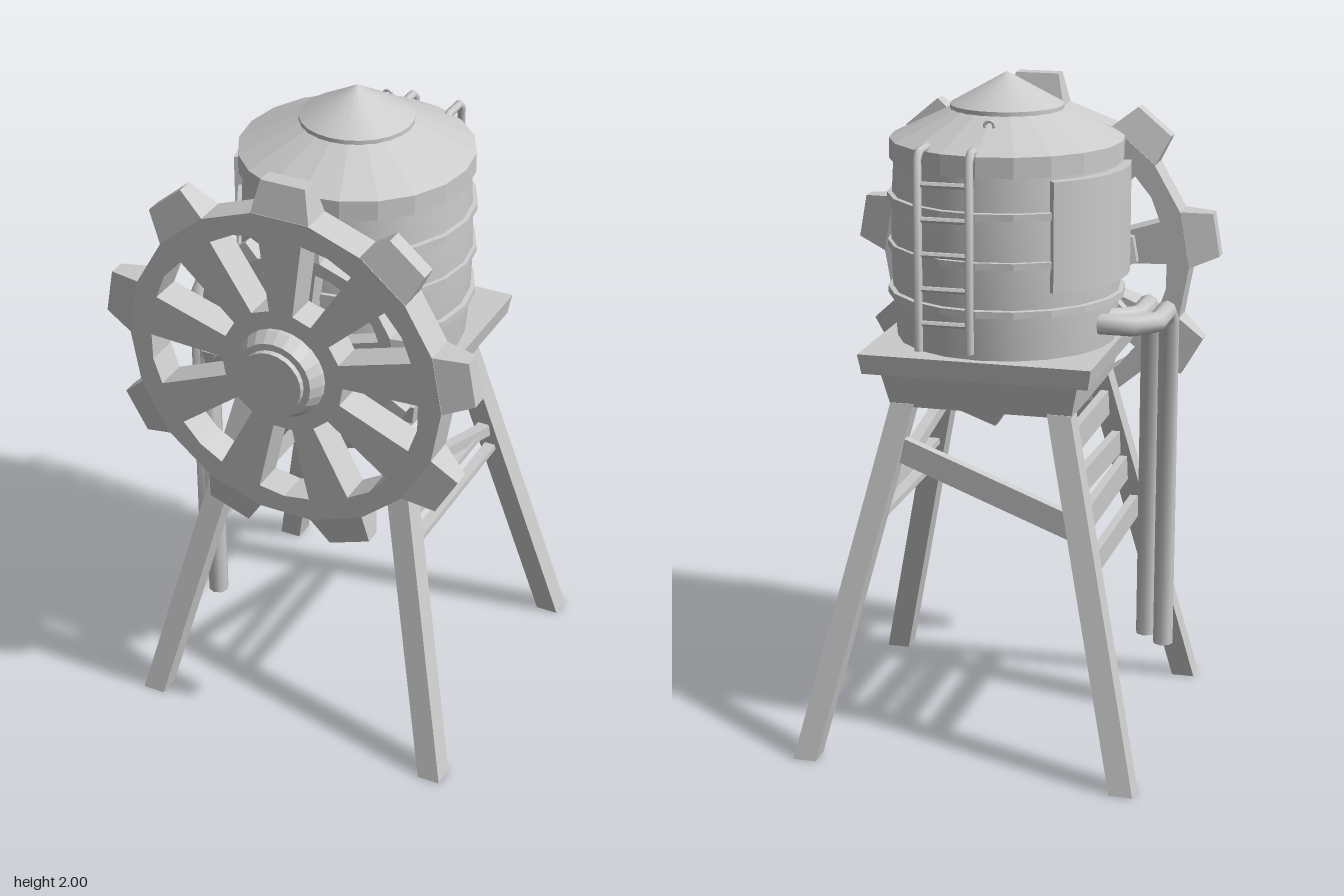
import * as THREE from 'three';

const smooth = new THREE.MeshStandardMaterial({ color: 0xcccccc, side: THREE.DoubleSide });
const flat = new THREE.MeshStandardMaterial({ color: 0xcccccc, flatShading: true });
const TX = -0.026, TZ = -0.046;   // tank axis
const LX = -0.0175, LZ = -0.045;  // tower axis

function add(parent, name, geo, mat = flat) {
  const mesh = new THREE.Mesh(geo, mat);
  mesh.name = name;
  parent.add(mesh);
  return mesh;
}

// Box from y0 to y1 with its own size and centre at each end: [width, depth, x, z]
function taper(y0, y1, [w0, d0, x0 = 0, z0 = 0], [w1, d1, x1 = 0, z1 = 0]) {
  const geo = new THREE.BoxGeometry(1, 1, 1), p = geo.attributes.position;
  for (let i = 0; i < p.count; i++) {
    const top = p.getY(i) > 0, x = p.getX(i), z = p.getZ(i);
    p.setXYZ(i, top ? x * w1 + x1 : x * w0 + x0, top ? y1 : y0, top ? z * d1 + z1 : z * d0 + z0);
  }
  geo.computeVertexNormals();
  return geo;
}

// Board of height h and thickness t between two points
function board(parent, name, a, b, h, t) {
  const mesh = add(parent, name, new THREE.BoxGeometry(t, h, a.distanceTo(b)));
  mesh.position.copy(a).lerp(b, 0.5);
  mesh.lookAt(b);
}

// Straight-sided path with mitred corners
class Polyline extends THREE.Curve {
  constructor(points) { super(); this.pts = points.map(p => new THREE.Vector3(...p)); }
  getPoint(t) {
    const n = this.pts.length - 1, i = Math.min(Math.floor(t * n + 1e-6), n - 1);
    return this.pts[i].clone().lerp(this.pts[i + 1], t * n - i);
  }
  getPointAt(t) { return this.getPoint(t); }
  getTangentAt(t) {
    const n = this.pts.length - 1, k = Math.round(t * n), out = new THREE.Vector3();
    for (const i of [k - 1, k]) {
      if (i >= 0 && i < n) out.add(this.pts[i + 1].clone().sub(this.pts[i]).normalize());
    }
    return out.normalize();
  }
}

function pipe(parent, name, points, r, sides = 8) {
  add(parent, name, new THREE.TubeGeometry(new Polyline(points), points.length - 1, r, sides), smooth);
  const end = add(parent, name + 'End', new THREE.CircleGeometry(r, sides), smooth);
  end.position.set(...points[points.length - 1]);
  end.rotation.x = Math.PI / 2;
}

// Toothed wheel facing +z, centred on its own origin
function makeWheel(name) {
  const wheel = new THREE.Group(), N = 9, step = Math.PI * 2 / N, deg = Math.PI / 180;
  wheel.name = name;
  const polar = (r, a) => new THREE.Vector2(r * Math.cos(a), r * Math.sin(a));
  const outline = [], holes = [];
  for (let i = 0; i < N; i++) {
    const a = Math.PI / 2 + i * step, m = a + step / 2;
    outline.push(polar(0.49, a - 10 * deg), polar(0.49, a + 10 * deg));
    holes.push(new THREE.Path([polar(0.19, m - 9 * deg), polar(0.42, m - 11 * deg),
      polar(0.425, m), polar(0.42, m + 11 * deg), polar(0.19, m + 9 * deg)]));
  }
  const shape = new THREE.Shape(outline);
  shape.holes = holes;
  add(wheel, 'rimAndSpokes', new THREE.ExtrudeGeometry(shape, { depth: 0.1, bevelEnabled: false }).translate(0, 0, -0.05));
  for (let i = 0; i < N; i++) {
    add(wheel, 'tooth', taper(0.475, 0.577, [0.18, 0.1], [0.135, 0.05])).rotation.z = i * step;
  }
  // Stepped hub, front boss and short rear boss
  const profile = [[0, -0.08], [0.09, -0.08], [0.12, -0.05], [0.136, 0.05], [0.136, 0.065], [0.115, 0.1],
    [0.095, 0.1], [0.095, 0.118], [0, 0.118]].map(p => new THREE.Vector2(...p));
  add(wheel, 'hub', new THREE.LatheGeometry(profile, 24).rotateX(Math.PI / 2));
  return wheel;
}

function makeTank() {
  const tank = new THREE.Group();
  tank.name = 'tank';
  tank.position.set(TX, 0, TZ);
  const v = (pts) => pts.map(p => new THREE.Vector2(...p));
  const body = v([[0.322, 1.2], [0.329, 1.28], [0.336, 1.38], [0.34, 1.5], [0.337, 1.64], [0.33, 1.77]]);
  add(tank, 'barrel', new THREE.LatheGeometry(body, 20), smooth);
  for (const y of [1.36, 1.5, 1.64]) {
    const hoop = v([[0.33, y - 0.012], [0.35, y - 0.01], [0.35, y + 0.01], [0.33, y + 0.012]]);
    add(tank, 'hoop', new THREE.LatheGeometry(hoop, 20));
  }
  add(tank, 'roof', new THREE.LatheGeometry(v([[0.32, 1.75], [0.343, 1.75], [0.343, 1.81], [0.155, 1.9]]), 20));
  add(tank, 'capBrim', new THREE.CylinderGeometry(0.166, 0.166, 0.014, 24).translate(0, 1.9, 0), smooth);
  add(tank, 'cap', new THREE.ConeGeometry(0.166, 0.093, 24).translate(0, 1.9535, 0), smooth);
  const knob = add(tank, 'roofHandle', new THREE.TorusGeometry(0.014, 0.005, 6, 10));
  knob.position.set(-0.005, 1.875, -0.212);
  // Curved hatch on the side
  const arc = new THREE.Shape(), a0 = 2.2, a1 = 3.43;
  arc.absarc(0, 0, 0.362, a0, a1, false);
  arc.absarc(0, 0, 0.325, a1, a0, true);
  const hatch = new THREE.ExtrudeGeometry(arc, { depth: 0.32, bevelEnabled: false, curveSegments: 8 });
  add(tank, 'hatch', hatch.rotateX(-Math.PI / 2).translate(0, 1.42, 0));
  return tank;
}

function makeTower() {
  const tower = new THREE.Group();
  tower.name = 'tower';
  add(tower, 'platform', taper(1.16, 1.22, [0.67, 0.68, LX, LZ], [0.69, 0.7, LX, LZ]));
  add(tower, 'platformBase', taper(1.05, 1.16, [0.54, 0.54, LX, LZ], [0.59, 0.59, LX, LZ]));
  // Centre of a leg at height y
  const legAt = (sx, sz, y) => {
    const k = 1 - y / 1.06;
    return new THREE.Vector3(LX + sx * (0.235 + 0.245 * k), y, LZ + sz * (0.24 + 0.225 * k));
  };
  for (const sx of [-1, 1]) for (const sz of [-1, 1]) {
    const a = legAt(sx, sz, 0), b = legAt(sx, sz, 1.06);
    add(tower, 'leg', taper(0, 1.06, [0.07, 0.07, a.x, a.z], [0.07, 0.07, b.x, b.z]));
  }
  // Planks on the pipe side
  for (const [yFront, yBack, h] of [[0.96, 0.96, 0.08], [0.825, 0.845, 0.075], [0.74, 0.74, 0.08], [0.61, 0.615, 0.07]]) {
    board(tower, 'plank', legAt(-1, 1, yFront), legAt(-1, -1, yBack), h, 0.025);
  }
  // Rails and diagonal braces
  for (const y of [0.7, 0.78]) board(tower, 'rail', legAt(1, 1, y), legAt(1, -1, y), 0.02, 0.035);
  board(tower, 'sideBrace', legAt(1, 1, 0.92), legAt(1, -1, 0.755), 0.035, 0.035);
  board(tower, 'backBrace', legAt(-1, -1, 0.73), legAt(1, -1, 0.93), 0.075, 0.03);
  return tower;
}

function makeLadder() {
  const ladder = new THREE.Group();
  ladder.name = 'ladder';
  for (const [x, z] of [[-0.015, -0.335], [0.135, -0.295]]) {
    pipe(ladder, 'ladderRail', [[x, 1.81, z], [x, 1.82, z - 0.03], [x, 1.82, -0.395], [x, 1.8, -0.415], [x, 1.25, -0.415]], 0.013);
  }
  for (let i = 0; i < 5; i++) {
    const rung = add(ladder, 'rung', new THREE.CylinderGeometry(0.009, 0.009, 0.15, 6).rotateZ(Math.PI / 2));
    rung.position.set(0.06, 1.33 + i * 0.1, -0.413);
  }
  return ladder;
}

export function createModel() {
  const model = new THREE.Group();
  model.name = 'waterTower';
  model.add(makeTank(), makeTower(), makeLadder());

  // Large front wheel and the smaller copy behind it, on one axle
  const large = makeWheel('largeWheel');
  large.position.set(0, 1.35, 0.43);
  const small = makeWheel('smallWheel');
  small.position.set(0, 1.355, 0.317);
  small.scale.setScalar(0.59);
  model.add(large, small);
  const axle = add(model, 'axle', new THREE.CylinderGeometry(0.05, 0.05, 0.2, 12).rotateX(Math.PI / 2));
  axle.position.set(0, 1.35, 0.32);

  // Drain pipes
  pipe(model, 'outerPipe', [[-0.33, 1.295, -0.155], [-0.43, 1.295, -0.155], [-0.488, 1.295, -0.09],
    [-0.488, 1.295, 0.045], [-0.488, 1.26, 0.09], [-0.488, 0.23, 0.09]], 0.031);
  pipe(model, 'innerPipe', [[-0.33, 1.295, -0.09], [-0.38, 1.295, -0.07], [-0.42, 1.295, -0.03],
    [-0.42, 1.295, 0.11], [-0.42, 1.26, 0.157], [-0.42, 0.23, 0.157]], 0.031);
  return model;
}
